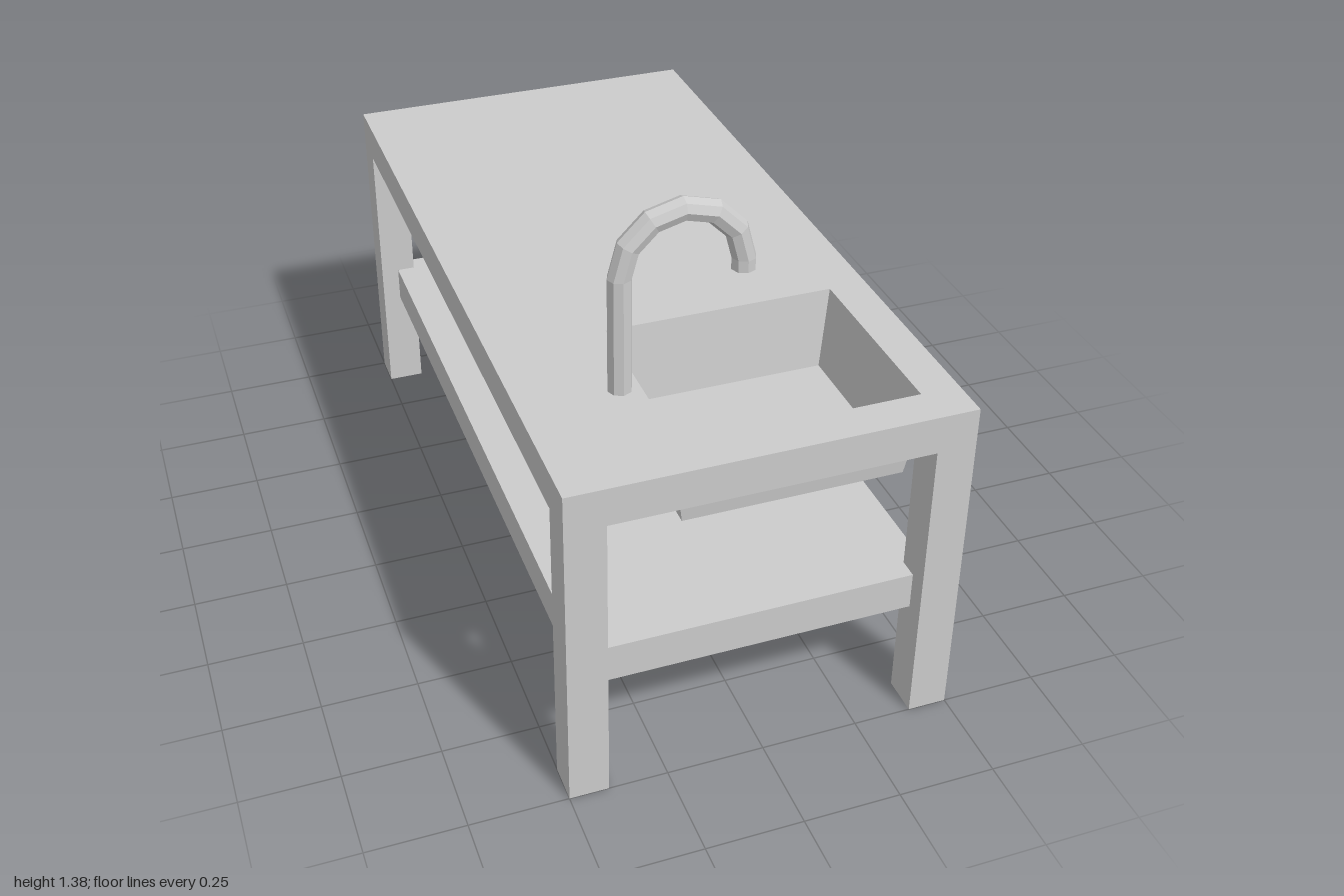
import * as THREE from 'three';

const material = new THREE.MeshStandardMaterial({ color: 0xcccccc, flatShading: true });

function add(parent, name, geometry, x = 0, y = 0, z = 0) {
  const mesh = new THREE.Mesh(geometry, material);
  mesh.name = name;
  mesh.position.set(x, y, z);
  parent.add(mesh);
}

// Rectangle corners at one height; a negative halfX reverses their order
function ring(halfX, y, halfZ) {
  return [[-halfX, y, -halfZ], [halfX, y, -halfZ], [halfX, y, halfZ], [-halfX, y, halfZ]];
}

// Tapered tray from rim to floor, facing inward (outward for reversed rings)
function tray(rim, floor) {
  const index = [4, 6, 5, 4, 7, 6];
  for (let i = 0; i < 4; i++) {
    const j = (i + 1) % 4;
    index.push(i, i + 4, j, j, i + 4, j + 4);
  }
  const geometry = new THREE.BufferGeometry();
  geometry.setAttribute('position', new THREE.Float32BufferAttribute([rim, floor].flat(2), 3));
  geometry.setIndex(index);
  const flat = geometry.toNonIndexed();
  flat.computeVertexNormals();
  return flat;
}

export function createModel() {
  const model = new THREE.Group();
  model.name = 'sinkTable';
  const sinkX = 0.1, sinkZ = 0.65;

  // Table top with the sink cut-out
  const slab = new THREE.Shape([
    new THREE.Vector2(-0.5, -1), new THREE.Vector2(0.5, -1),
    new THREE.Vector2(0.5, 1), new THREE.Vector2(-0.5, 1),
  ]);
  slab.holes.push(new THREE.Path([
    new THREE.Vector2(-0.2, -0.9), new THREE.Vector2(-0.2, -0.4),
    new THREE.Vector2(0.4, -0.4), new THREE.Vector2(0.4, -0.9),
  ]));
  const top = new THREE.ExtrudeGeometry(slab, { depth: 0.1, bevelEnabled: false });
  top.rotateX(-Math.PI / 2);
  add(model, 'tableTop', top, 0, 0.8, 0);

  // Legs
  for (const x of [-0.45, 0.45]) {
    for (const z of [-0.95, 0.95]) {
      add(model, 'leg', new THREE.BoxGeometry(0.1, 0.8, 0.1), x, 0.4, z);
    }
  }

  // Lower shelf, running to the middle of the legs
  add(model, 'shelf', new THREE.BoxGeometry(0.9, 0.1, 1.9), 0, 0.35, 0);

  // Sink: tapered basin inside and parallel shell outside
  const sink = new THREE.Group();
  sink.name = 'sink';
  sink.position.set(sinkX, 0, sinkZ);
  model.add(sink);
  add(sink, 'basinInside', tray(ring(0.3, 0.9, 0.25), ring(0.27, 0.69, 0.225)));
  add(sink, 'basinOutside', tray(ring(-0.301, 0.8, 0.251), ring(-0.281, 0.67, 0.235)));

  // Faucet: riser, half-circle neck and short spout
  const faucet = new THREE.Group();
  faucet.name = 'faucet';
  faucet.position.set(-0.1, 0, sinkZ);
  model.add(faucet);
  const r = 0.03, bend = 0.15;
  add(faucet, 'riser', new THREE.CylinderGeometry(r, r, 0.3, 8), -bend, 1.05, 0);
  add(faucet, 'neck', new THREE.TorusGeometry(bend, r, 8, 6, Math.PI), 0, 1.2, 0);
  add(faucet, 'spout', new THREE.CylinderGeometry(r, r, 0.03, 8), bend, 1.185, 0);

  return model;
}
